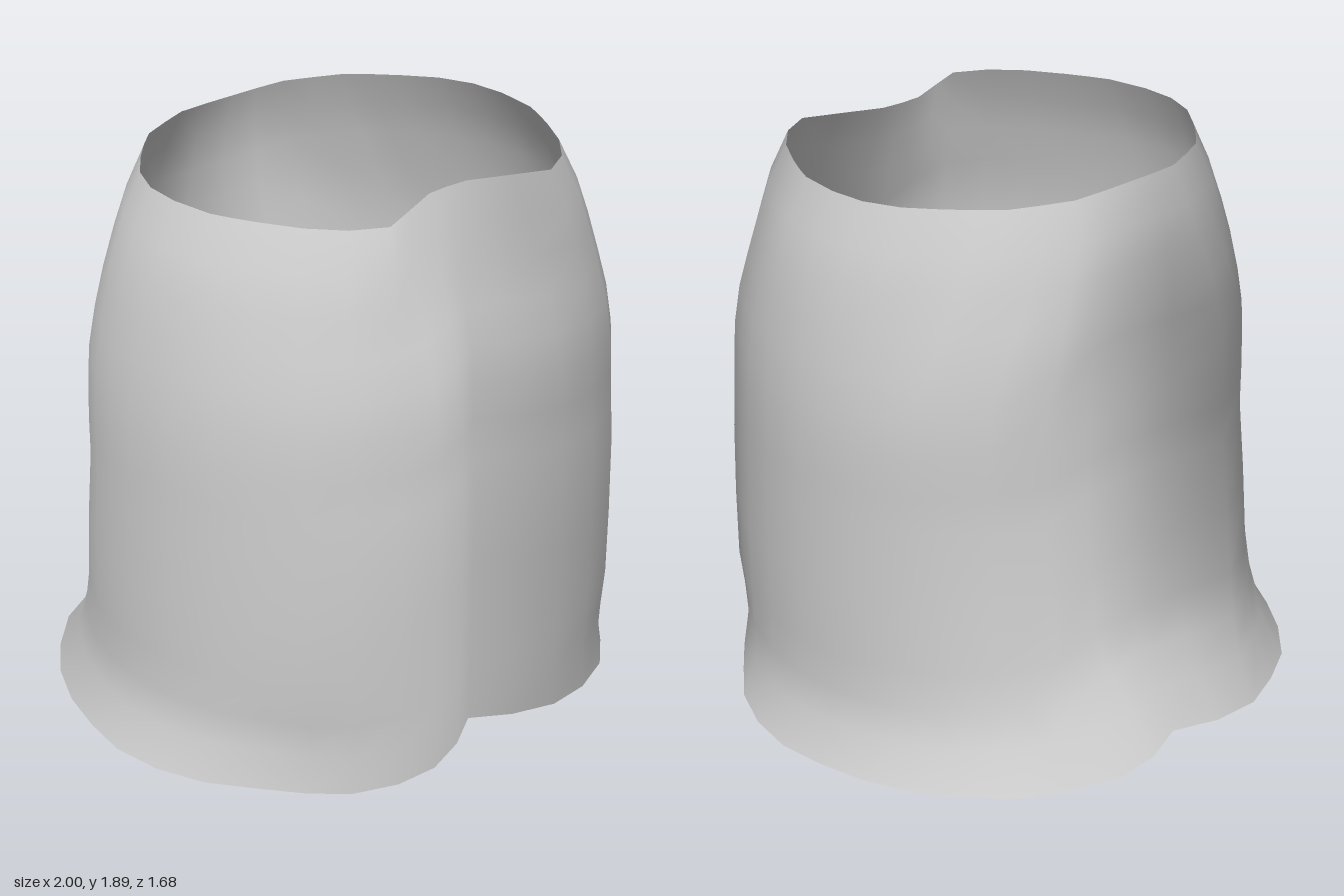
import * as THREE from 'three';

// Half cross-sections [x, z], from the front crease round the left side to the back crease
const BASE = [[0, .70], [.13, .78], [.28, .83], [.43, .82], [.58, .76], [.69, .66], [.79, .54], [.90, .40], [.97, .24], [1, .07],
  [.98, -.10], [.94, -.27], [.87, -.43], [.77, -.57], [.64, -.70], [.49, -.78], [.33, -.84], [.16, -.83], [0, -.77]];
const MIDDLE = [[0, .70], [.13, .78], [.28, .83], [.43, .82], [.58, .76], [.69, .66], [.77, .53], [.84, .40], [.89, .24], [.91, .07],
  [.90, -.06], [.87, -.18], [.82, -.28], [.77, -.37], [.70, -.45], [.60, -.54], [.42, -.63], [.20, -.59], [0, -.57]];
const RIM = [[0, .545], [.08, .55], [.22, .61], [.34, .66], [.45, .60], [.54, .50], [.61, .38], [.65, .30], [.68, .23], [.70, .08],
  [.69, -.05], [.64, -.17], [.56, -.27], [.49, -.345], [.42, -.41], [.32, -.455], [.22, -.495], [.11, -.50], [0, -.50]];

// Height, half width, front reach, back reach
const LEVELS = [
  [0, 1, .84, .84], [.13, .93, .84, .75], [.25, .915, .84, .685], [.38, .91, .84, .635],
  [.62, .91, .84, .605], [.87, .90, .84, .575], [1.0, .90, .825, .575], [1.13, .895, .82, .575],
  [1.26, .885, .815, .575], [1.39, .865, .80, .575], [1.51, .84, .77, .575],
  [1.64, .81, .735, .56], [1.76, .765, .71, .545], [1.89, .70, .66, .50],
];

const { lerp, smoothstep } = THREE.MathUtils;

// Scale a section so its half width, front and back reach are all 1
function normalise(section) {
  const w = Math.max(...section.map(p => p[0]));
  const f = Math.max(...section.map(p => p[1]));
  const b = -Math.min(...section.map(p => p[1]));
  return section.map(([x, z]) => [x / w, z / (z > 0 ? f : b)]);
}
const [base, middle, rim] = [BASE, MIDDLE, RIM].map(normalise);

// Full ring of points at one level, mirrored across x
function ring([y, width, front, back]) {
  const low = Math.min(y / .38, 1), high = smoothstep(y, 1.2, 1.89);
  const half = middle.map((m, i) => {
    const x = lerp(lerp(base[i][0], m[0], low), rim[i][0], high);
    const z = lerp(lerp(base[i][1], m[1], low), rim[i][1], high);
    return [x * width, y, z * (z > 0 ? front : back)];
  });
  const mirrored = half.slice(1, -1).reverse().map(([x, h, z]) => [-x, h, z]);
  return [...half, ...mirrored];
}

function sleeveGeometry() {
  const rings = LEVELS.map(ring), n = rings[0].length;
  const index = [];
  for (let r = 0; r < rings.length - 1; r++) {
    for (let i = 0; i < n; i++) {
      const a = r * n + i, b = r * n + (i + 1) % n;
      index.push(a, b, b + n, a, b + n, a + n);
    }
  }
  const geometry = new THREE.BufferGeometry();
  geometry.setAttribute('position', new THREE.Float32BufferAttribute(rings.flat(2), 3));
  geometry.setIndex(index);
  geometry.computeVertexNormals();

  // Round the shading around the axis so the creases stay soft
  const pos = geometry.attributes.position, normal = geometry.attributes.normal;
  for (let i = 0; i < pos.count; i++) {
    const x = pos.getX(i), z = pos.getZ(i), ny = normal.getY(i);
    const k = Math.sqrt(1 - ny * ny) / Math.hypot(x, z);
    normal.setXYZ(i, x * k, ny, z * k);
  }
  return geometry;
}

export function createModel() {
  const group = new THREE.Group();
  group.name = 'openSleeve';
  const grey = new THREE.MeshStandardMaterial({ color: 0xcccccc, side: THREE.DoubleSide });
  grey.name = 'light grey';
  const sleeve = new THREE.Mesh(sleeveGeometry(), grey);
  sleeve.name = 'sleeve';
  group.add(sleeve);
  return group;
}
